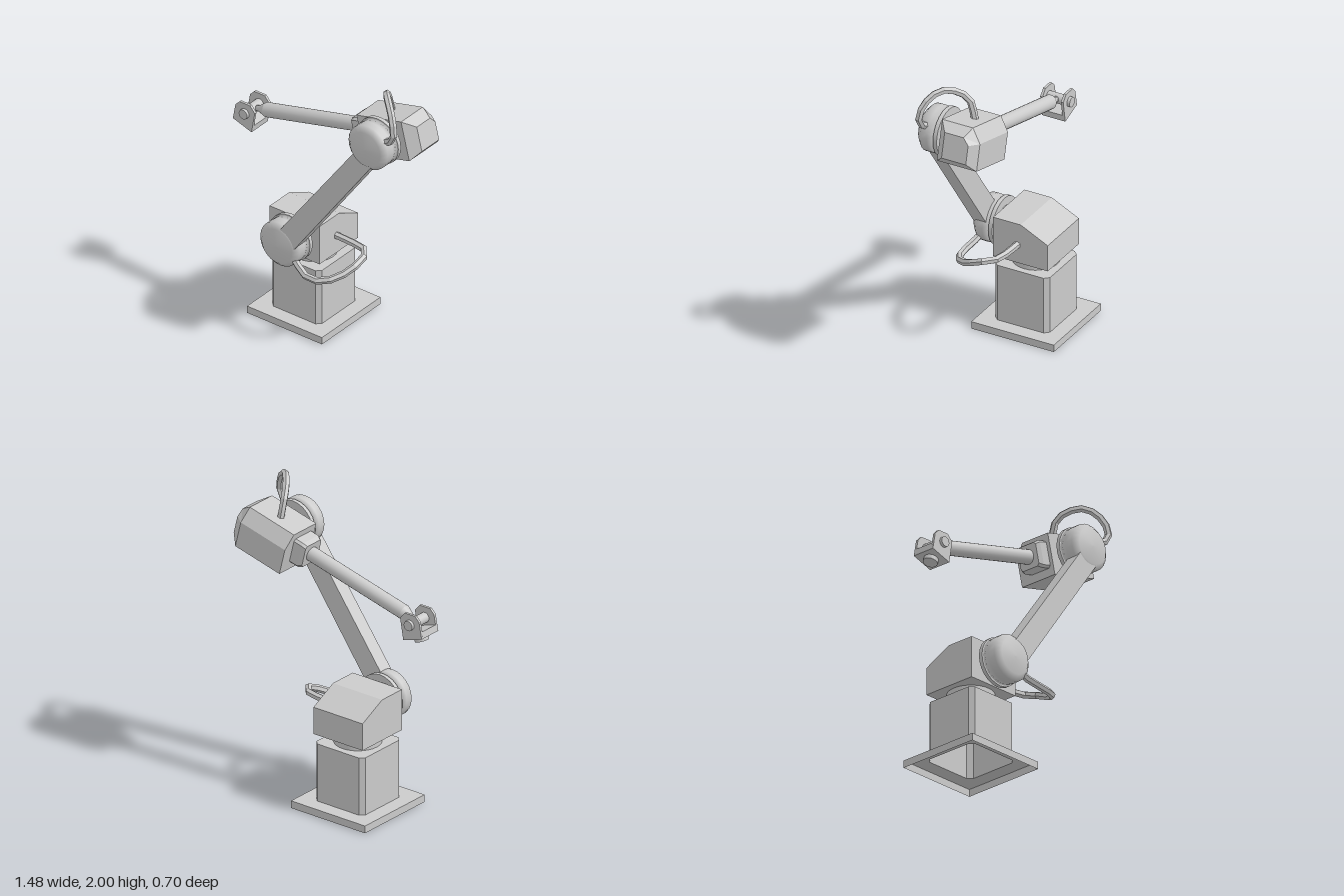
import * as THREE from 'three';

const material = new THREE.MeshStandardMaterial({ color: 0xcccccc });
const flat = new THREE.MeshStandardMaterial({ color: 0xcccccc, flatShading: true, side: THREE.DoubleSide });

function add(parent, name, geometry, mat = material) {
  const mesh = new THREE.Mesh(geometry, mat);
  mesh.name = name;
  parent.add(mesh);
  return mesh;
}

// Joins cross-sections [x, [[y, z], ...]] (counter-clockwise seen from +x) into a flat-sided solid.
function loft(sections, capStart = true) {
  const n = sections[0][1].length;
  const pos = [];
  const index = [];
  for (const [x, pts] of sections) for (const [y, z] of pts) pos.push(x, y, z);
  for (let i = 0; i < sections.length - 1; i++) {
    for (let j = 0; j < n; j++) {
      const a = i * n + j, b = i * n + (j + 1) % n;
      index.push(a, b, b + n, a, b + n, a + n);
    }
  }
  const last = (sections.length - 1) * n;
  for (let j = 1; j < n - 1; j++) {
    if (capStart) index.push(0, j + 1, j);
    index.push(last, last + j, last + j + 1);
  }
  const indexed = new THREE.BufferGeometry();
  indexed.setAttribute('position', new THREE.Float32BufferAttribute(pos, 3));
  indexed.setIndex(index);
  const geometry = indexed.toNonIndexed();
  geometry.computeVertexNormals();
  return geometry;
}

// Extrudes an outline in the xy plane between two z values.
function slab(points, z0, z1) {
  const shape = new THREE.Shape(points.map(([x, y]) => new THREE.Vector2(x, y)));
  return new THREE.ExtrudeGeometry(shape, { depth: z1 - z0, bevelEnabled: false }).translate(0, 0, z0);
}

// Cylinder along z between two z values.
function disc(r, z0, z1, sides = 24) {
  return new THREE.CylinderGeometry(r, r, z1 - z0, sides).rotateX(Math.PI / 2).translate(0, 0, (z0 + z1) / 2);
}

// Square outline with cut corners.
function cutSquare(h, c) {
  return [[h, c - h], [h, h - c], [h - c, h], [c - h, h], [-h, h - c], [-h, c - h], [c - h, -h], [h - c, -h]];
}

function addCable(parent, name, points) {
  const curve = new THREE.CatmullRomCurve3(points.map(p => new THREE.Vector3(...p)));
  add(parent, name, new THREE.TubeGeometry(curve, 11, 0.024, 6), flat);
}

// Stacked discs and the domed cap of a rotating joint.
function addJoint(parent, name, x, y) {
  const joint = new THREE.Group();
  joint.name = name;
  joint.position.set(x, y, 0);
  add(joint, 'jointAxle', disc(0.105, 0.12, 0.168));
  add(joint, 'jointRing', disc(0.163, 0.165, 0.192));
  const profile = [[0, 0.19], [0.153, 0.19], [0.157, 0.24], [0.156, 0.29], [0.12, 0.322], [0, 0.328]];
  const cap = new THREE.LatheGeometry(profile.map(p => new THREE.Vector2(...p)), 24).rotateX(Math.PI / 2);
  add(joint, 'jointCap', cap);
  parent.add(joint);
}

export function createModel() {
  const model = new THREE.Group();
  model.name = 'robotArm';

  // Hollow base plate and column
  const base = new THREE.Group();
  base.name = 'base';
  base.position.set(-0.228, 0, -0.058);
  model.add(base);
  const side = 0.595;
  const column = cutSquare(0.197, 0.03);
  const rim = new THREE.CylinderGeometry(side / Math.SQRT2, side / Math.SQRT2, 0.05, 4, 1, true);
  add(base, 'plateRim', rim.rotateY(Math.PI / 4).translate(0, 0.025, 0), flat);
  const top = new THREE.Shape([[-1, -1], [1, -1], [1, 1], [-1, 1]].map(([x, y]) => new THREE.Vector2(x * side / 2, y * side / 2)));
  top.holes.push(new THREE.Path(column.map(p => new THREE.Vector2(...p))));
  add(base, 'plateTop', new THREE.ShapeGeometry(top).rotateX(-Math.PI / 2).translate(0, 0.05, 0), flat);
  add(base, 'column', loft([[0.05, column], [0.445, column]], false).rotateZ(Math.PI / 2), flat);
  add(base, 'turntable', new THREE.CylinderGeometry(0.153, 0.153, 0.07, 28).translate(0, 0.475, 0));

  // Shoulder housing with sloping back
  const housing = [[0.505, -0.255], [0.69, -0.255], [0.785, -0.06], [0.785, 0.138], [0.505, 0.138]];
  add(model, 'shoulderHousing', loft([[-0.425, housing], [-0.03, housing]]), flat);

  // Joints and the link between them
  addJoint(model, 'shoulderJoint', -0.225, 0.655);
  addJoint(model, 'elbowJoint', 0.477, 1.652);
  add(model, 'upperArmLink', slab([[-0.295, 0.66], [-0.135, 0.62], [0.54, 1.56], [0.42, 1.64]], 0.218, 0.315));

  // Forearm, tilted about the elbow
  const forearm = new THREE.Group();
  forearm.name = 'forearm';
  forearm.position.set(0.48, 1.65, 0);
  forearm.rotation.z = THREE.MathUtils.degToRad(14);
  model.add(forearm);
  const body = [[-0.142, -0.148], [0.04, -0.148], [0.132, -0.085], [0.132, 0.137], [-0.142, 0.137]];
  const tail = [[-0.095, -0.1], [0.03, -0.1], [0.075, -0.06], [0.075, 0.075], [-0.095, 0.075]];
  add(forearm, 'motorHousing', loft([[-0.19, body], [0.175, body], [0.24, tail]]), flat);
  const collar = h => cutSquare(h, 0.015).map(([y, z]) => [y, z + 0.022]);
  add(forearm, 'collar', loft([[-0.28, collar(0.078)], [-0.25, collar(0.09)], [-0.18, collar(0.09)]]), flat);
  const tube = [[0, -1.13], [0.02, -1.13], [0.02, -1.11], [0.048, -1.05], [0.048, -1.05], [0.048, -0.26]];
  const tubeGeometry = new THREE.LatheGeometry(tube.map(p => new THREE.Vector2(...p)), 20);
  add(forearm, 'forearmTube', tubeGeometry.rotateZ(-Math.PI / 2).translate(0, 0, 0.02));

  // Wrist fork, pin and tool flange
  const wrist = new THREE.Group();
  wrist.name = 'wrist';
  model.add(wrist);
  const cheek = [[-0.743, 1.296], [-0.595, 1.248], [-0.569, 1.397], [-0.606, 1.44], [-0.69, 1.44], [-0.722, 1.407]];
  for (const z of [-0.06, 0.089]) add(wrist, 'forkCheek', slab(cheek, z, z + 0.017));
  add(wrist, 'forkBridge', slab([[-0.743, 1.296], [-0.595, 1.248], [-0.587, 1.293], [-0.735, 1.341]], -0.05, 0.095));
  add(wrist, 'wristPin', disc(0.034, -0.08, 0.125, 16).translate(-0.648, 1.368, 0));
  const flange = add(wrist, 'toolFlange', new THREE.CylinderGeometry(0.047, 0.047, 0.05, 20));
  flange.position.set(-0.672, 1.268, 0.022);
  flange.rotation.z = -0.31;

  // Cable loops at the two joints
  addCable(model, 'elbowCable', [[0.44, 1.76, 0], [0.44, 1.9, 0.04], [0.475, 1.955, 0.1], [0.545, 1.978, 0.18],
    [0.62, 1.93, 0.24], [0.665, 1.84, 0.275], [0.66, 1.77, 0.275], [0.58, 1.72, 0.265]]);
  addCable(model, 'shoulderCable', [[-0.06, 0.635, -0.035], [0.14, 0.635, -0.025], [0.235, 0.637, 0.005], [0.26, 0.625, 0.08],
    [0.225, 0.57, 0.18], [0.15, 0.53, 0.28], [0.04, 0.515, 0.323], [-0.07, 0.55, 0.295], [-0.15, 0.6, 0.27]]);

  return model;
}
